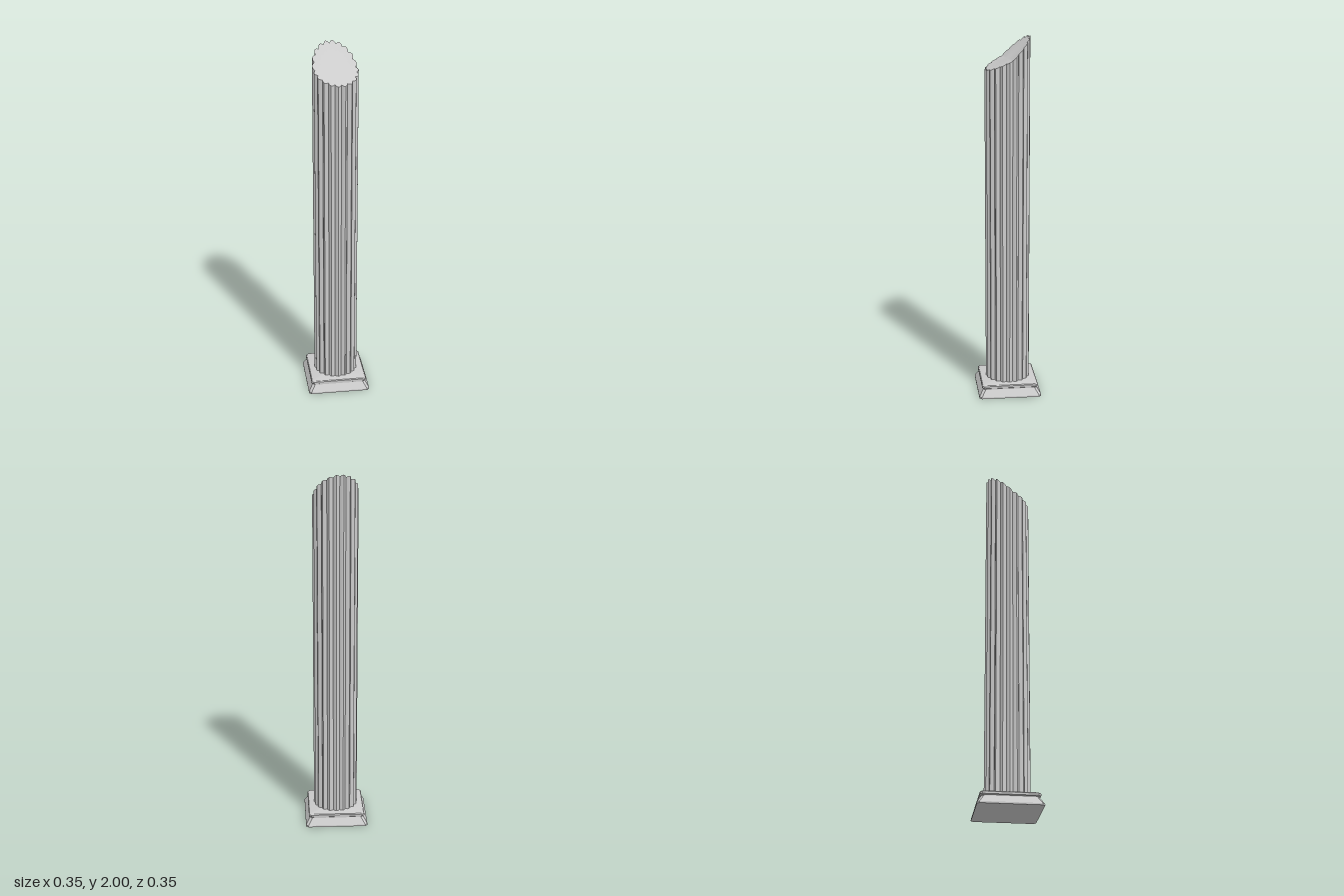
import * as THREE from 'three';
import { toCreasedNormals } from 'three/addons/utils/BufferGeometryUtils.js';

const FLUTES = 20, STEPS = 4;

// Skin a stack of rings (arrays of [x, y, z], counter-clockwise from above), capped at both ends
function loft(rings, bottomY, topY) {
  const n = rings[0].length, pos = [];
  const tri = (...pts) => pts.forEach(p => pos.push(...p));
  const bottom = [0, bottomY, 0], top = [0, topY, 0];
  const first = rings[0], last = rings[rings.length - 1];
  for (let i = 0; i < n; i++) {
    const j = (i + 1) % n;
    for (let k = 0; k < rings.length - 1; k++) {
      const a = rings[k], b = rings[k + 1];
      tri(a[i], a[j], b[j]);
      tri(a[i], b[j], b[i]);
    }
    tri(top, last[i], last[j]);
    tri(bottom, first[j], first[i]);
  }
  const geo = new THREE.BufferGeometry();
  geo.setAttribute('position', new THREE.Float32BufferAttribute(pos, 3));
  return toCreasedNormals(geo, 0.5);
}

// Square ring with cut corners
function squareRing(y, half, cut) {
  const ring = [];
  for (let q = 0; q < 4; q++) {
    const c = [1, 0, -1, 0][q], s = [0, 1, 0, -1][q];
    for (const [u, v] of [[half, half - cut], [half - cut, half]]) {
      ring.push([u * c - v * s, y, -(u * s + v * c)]);
    }
  }
  return ring;
}

// Scalloped shaft outline; height is a function of x and z
function shaftRing(height) {
  const ring = [], n = FLUTES * STEPS;
  for (let i = 0; i < n; i++) {
    const a = (i / n) * Math.PI * 2;
    const r = 0.11 + 0.013 * Math.abs(Math.cos((i / STEPS) * Math.PI));
    const x = r * Math.cos(a), z = -r * Math.sin(a);
    ring.push([x, height(x, z), z]);
  }
  return ring;
}

export function createModel() {
  const model = new THREE.Group();
  const material = new THREE.MeshStandardMaterial({ color: 0xcccccc });
  const add = (name, geo) => {
    const mesh = new THREE.Mesh(geo, material);
    mesh.name = name;
    model.add(mesh);
  };

  // Plinth: sloping foot, narrow neck and rounded upper moulding
  const profile = [
    [0, 0.174, 0.013], [0.009, 0.174, 0.013], [0.046, 0.151, 0.013], [0.051, 0.151, 0.013],
    [0.055, 0.157, 0.013], [0.066, 0.157, 0.013], [0.071, 0.153, 0.012], [0.074, 0.145, 0.011],
  ];
  add('plinth', loft(profile.map(p => squareRing(...p)), 0, 0.074));

  // Fluted shaft, broken off along two planes that meet in a crease
  const crease = Math.tan(Math.PI / FLUTES);
  const broken = (x, z) => {
    const s = z + crease * x;
    return 1.88 - s * (s > 0 ? 0.48 : 0.965);
  };
  add('brokenFlutedShaft', loft([shaftRing(() => 0.07), shaftRing(broken)], 0.07, 1.88));

  return model;
}
